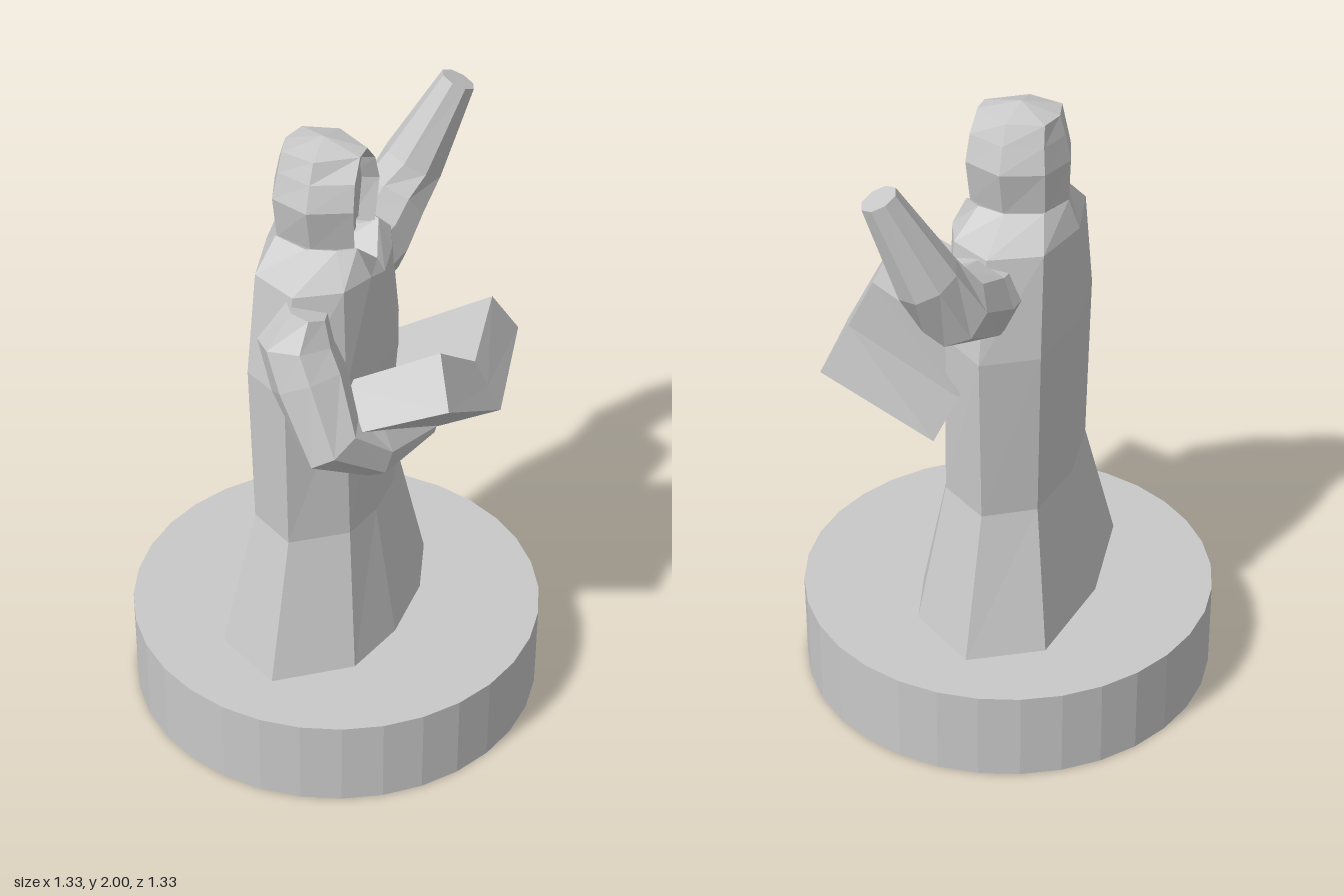
import * as THREE from 'three';

const stone = new THREE.MeshStandardMaterial({ color: 0xc8c8c8, flatShading: true });
stone.name = 'grey stone';

function addMesh(parent, name, geometry) {
  const mesh = new THREE.Mesh(geometry, stone);
  mesh.name = name;
  parent.add(mesh);
  return mesh;
}

// Skins a list of equal-length rings and closes both ends with fans.
function loft(rings, startTip, endTip) {
  const out = [];
  const tri = (a, b, c) => out.push(...a, ...b, ...c);
  const n = rings[0].length;
  const middle = ring => [0, 1, 2].map(k => ring.reduce((s, p) => s + p[k], 0) / n);
  for (let j = 0; j < n; j++) {
    const k = (j + 1) % n;
    for (let i = 0; i + 1 < rings.length; i++) {
      const a = rings[i], b = rings[i + 1];
      tri(a[j], a[k], b[k]);
      tri(a[j], b[k], b[j]);
    }
    const first = rings[0], last = rings[rings.length - 1];
    tri(first[k], first[j], startTip || middle(first));
    tri(last[j], last[k], endTip || middle(last));
  }
  const g = new THREE.BufferGeometry();
  g.setAttribute('position', new THREE.Float32BufferAttribute(out, 3));
  g.computeVertexNormals();
  return g;
}

// Mirrors a half outline, front centre to back centre, given as [x, z, optional y].
function mirroredRing(y, half) {
  const near = half.map(([x, z, py = y]) => [x, py, -z]);
  const far = half.slice(1, -1).reverse().map(([x, z, py = y]) => [x, py, z]);
  return [...near, ...far];
}

// Faceted limb through stations [x, y, z, radius].
function limb(stations, sides, hint) {
  const pts = stations.map(s => new THREE.Vector3(s[0], s[1], s[2]));
  const rings = stations.map((s, i) => {
    const axis = pts[Math.min(i + 1, pts.length - 1)].clone().sub(pts[Math.max(i - 1, 0)]).normalize();
    const u = hint.clone().addScaledVector(axis, -hint.dot(axis)).normalize();
    const v = axis.clone().cross(u);
    return Array.from({ length: sides }, (_, j) => {
      const t = (j / sides) * Math.PI * 2;
      return pts[i].clone().addScaledVector(u, s[3] * Math.cos(t))
        .addScaledVector(v, s[3] * Math.sin(t)).toArray();
    });
  });
  return loft(rings);
}

export function createModel() {
  const model = new THREE.Group();
  model.name = 'robedStatue';

  // Round plinth
  const base = addMesh(model, 'plinth', new THREE.CylinderGeometry(0.667, 0.667, 0.295, 32));
  base.position.y = 0.1475;

  // Flared robe rising to the shoulders and V-shaped collar
  addMesh(model, 'robe', loft([
    mirroredRing(0.29, [[0.25, 0], [0.25, 0.12], [0.19, 0.33], [-0.03, 0.49], [-0.25, 0.36], [-0.30, 0]]),
    mirroredRing(0.74, [[0.165, 0], [0.165, 0.08], [0.13, 0.22], [-0.03, 0.335], [-0.18, 0.24], [-0.215, 0]]),
    mirroredRing(1.29, [[0.17, 0], [0.165, 0.08], [0.12, 0.23], [-0.03, 0.35], [-0.19, 0.25], [-0.23, 0]]),
    mirroredRing(1.61, [[0.155, 0, 1.58], [0.145, 0.09], [0.10, 0.2], [-0.03, 0.28], [-0.18, 0.2], [-0.225, 0]]),
    mirroredRing(1.70, [[0.13, 0, 1.62], [0.10, 0.09], [0.05, 0.125], [-0.04, 0.15], [-0.15, 0.11], [-0.19, 0]]),
  ], null, [0, 1.64, 0]));

  // Hood with a recessed opening
  addMesh(model, 'hood', loft([
    mirroredRing(1.69, [[0.01, 0], [0.01, 0.065], [0.09, 0.085], [-0.03, 0.135], [-0.15, 0.1], [-0.19, 0]]),
    mirroredRing(1.83, [[0.01, 0], [0.01, 0.08], [0.095, 0.11], [-0.03, 0.167], [-0.155, 0.12], [-0.195, 0]]),
    mirroredRing(1.91, [[0.01, 0], [0.01, 0.06], [0.09, 0.085], [-0.03, 0.137], [-0.145, 0.1], [-0.178, 0]]),
    mirroredRing(1.97, [[0.085, 0], [0.085, 0.01], [0.085, 0.03], [-0.03, 0.108], [-0.14, 0.08], [-0.16, 0]]),
  ], null, [-0.04, 2.0, 0]));

  // Plain face plate and neck inside the hood
  const outline = [[0, 1.945], [-0.085, 1.88], [-0.09, 1.82], [-0.065, 1.71], [0.065, 1.71], [0.09, 1.82], [0.085, 1.88]];
  const face = addMesh(model, 'face', new THREE.ExtrudeGeometry(
    new THREE.Shape(outline.map(p => new THREE.Vector2(...p))), { depth: 0.045, bevelEnabled: false }));
  face.rotation.y = Math.PI / 2;
  const neck = addMesh(model, 'neck', new THREE.BoxGeometry(0.08, 0.1, 0.12));
  neck.position.set(0, 1.67, 0);

  // Raised arm
  addMesh(model, 'rightArm', limb([
    [-0.01, 1.48, -0.2, 0.125], [0.0, 1.48, -0.3, 0.125], [0.01, 1.54, -0.455, 0.115],
    [0.06, 1.66, -0.52, 0.1], [0.175, 1.93, -0.587, 0.057],
  ], 8, new THREE.Vector3(1, 0, 0)));

  // Bent arm reaching beneath the book
  addMesh(model, 'leftArm', limb([
    [0.01, 1.57, 0.26, 0.065], [-0.02, 1.46, 0.27, 0.12], [0.03, 1.35, 0.3, 0.12],
    [0.12, 1.18, 0.35, 0.105], [0.21, 1.10, 0.24, 0.085], [0.31, 1.05, 0.0, 0.025],
  ], 7, new THREE.Vector3(1, 0.3, 0.2)));

  // Thick open book: cover then page folds at the near and far ends
  const near = [[0.12, 1.18, 0.334], [0.19, 0.96, -0.02], [0.12, 0.99, -0.345],
    [0.05, 1.14, -0.31], [0.10, 1.11, -0.01], [0.08, 1.28, 0.2]];
  const far = [[0.465, 1.34, 0.297], [0.53, 1.16, -0.01], [0.46, 1.2, -0.4],
    [0.39, 1.34, -0.335], [0.44, 1.31, -0.02], [0.39, 1.445, 0.163]];
  const spine = ring => [0, 1, 2].map(k => (ring[1][k] + ring[4][k]) / 2);
  addMesh(model, 'openBook', loft([near, far], spine(near), spine(far)));

  return model;
}
